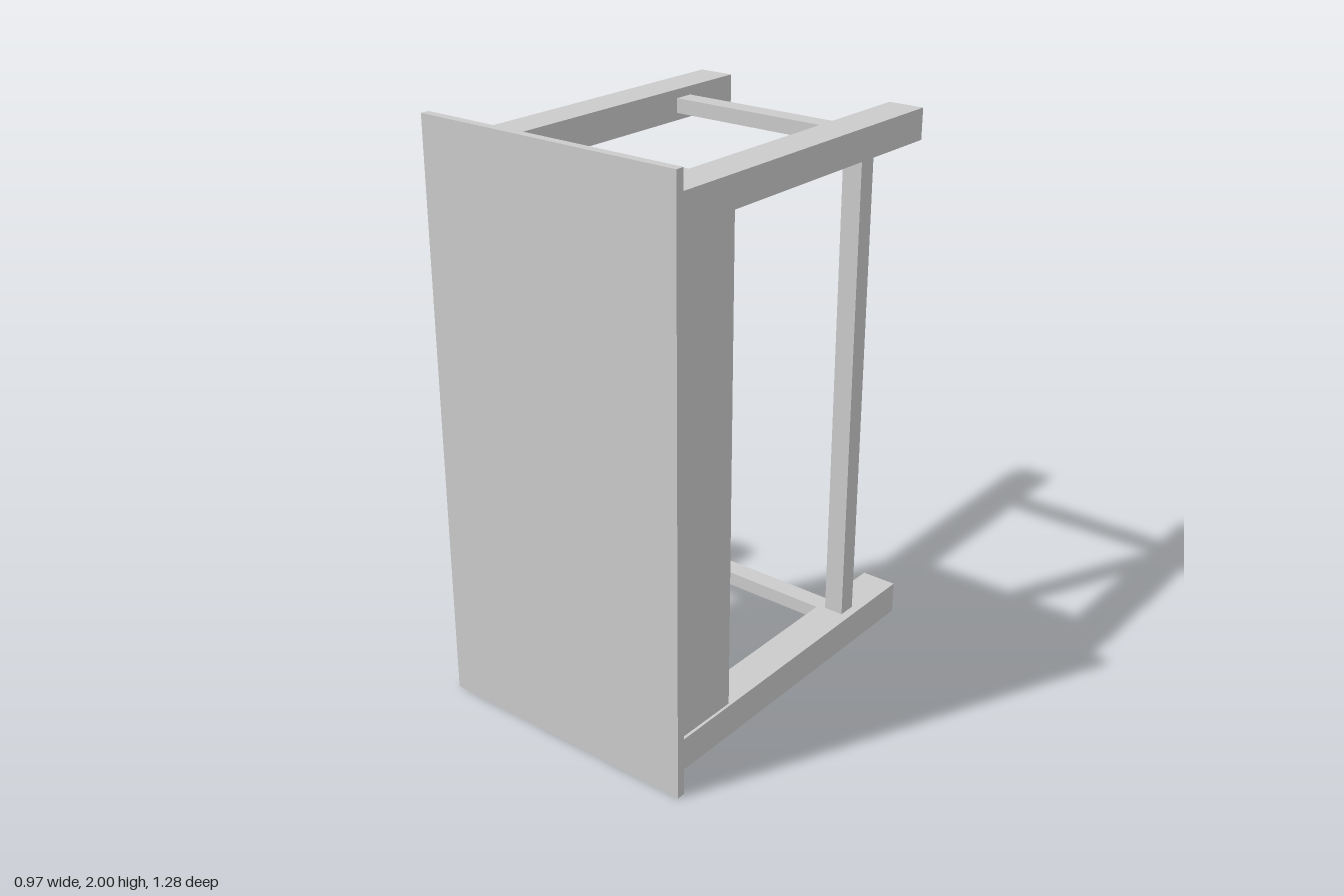
import * as THREE from 'three';

// A desk resting on its side: the tabletop faces +z, the legs point to -z.
export function createModel() {
  const group = new THREE.Group();
  const material = new THREE.MeshStandardMaterial({ color: 0xcccccc, flatShading: true });
  const smooth = new THREE.MeshStandardMaterial({ color: 0xcccccc });

  // Box given by its limits along each axis
  function box(name, [x0, x1], [y0, y1], [z0, z1]) {
    const mesh = new THREE.Mesh(new THREE.BoxGeometry(x1 - x0, y1 - y0, z1 - z0), material);
    mesh.position.set((x0 + x1) / 2, (y0 + y1) / 2, (z0 + z1) / 2);
    mesh.name = name;
    group.add(mesh);
    return mesh;
  }

  box('tabletop', [-0.488, 0.485], [0, 2], [0.61, 0.64]);
  box('drawerBody', [-0.437, 0.445], [0.07, 1.9], [0.335, 0.612]);

  // Four legs, the lower left one very slightly askew
  for (const [end, y] of [['upper', [1.815, 1.92]], ['lower', [0.057, 0.17]]]) {
    box(end + 'RightLeg', [-0.45, -0.322], y, [-0.64, 0.605]);
    const leg = box(end + 'LeftLeg', [0.325, 0.452], y, [-0.64, 0.605]);
    if (end === 'lower') leg.rotation.y = 0.006;
  }

  // Stretchers: one across each pair of legs and one long rail
  box('upperStretcher', [-0.33, 0.335], [1.84, 1.89], [-0.415, -0.345]);
  box('lowerStretcher', [-0.33, 0.335], [0.11, 0.16], [-0.415, -0.345]);
  box('longStretcher', [0.35, 0.42], [0.16, 1.83], [-0.41, -0.345]);

  // Two small drawer knobs
  for (const y of [0.56, 1.43]) {
    const knob = new THREE.Mesh(new THREE.SphereGeometry(0.022, 20, 12), smooth);
    knob.scale.x = 0.6;
    knob.position.set(-0.437, y, 0.49);
    knob.name = 'drawerKnob';
    group.add(knob);
  }

  return group;
}
